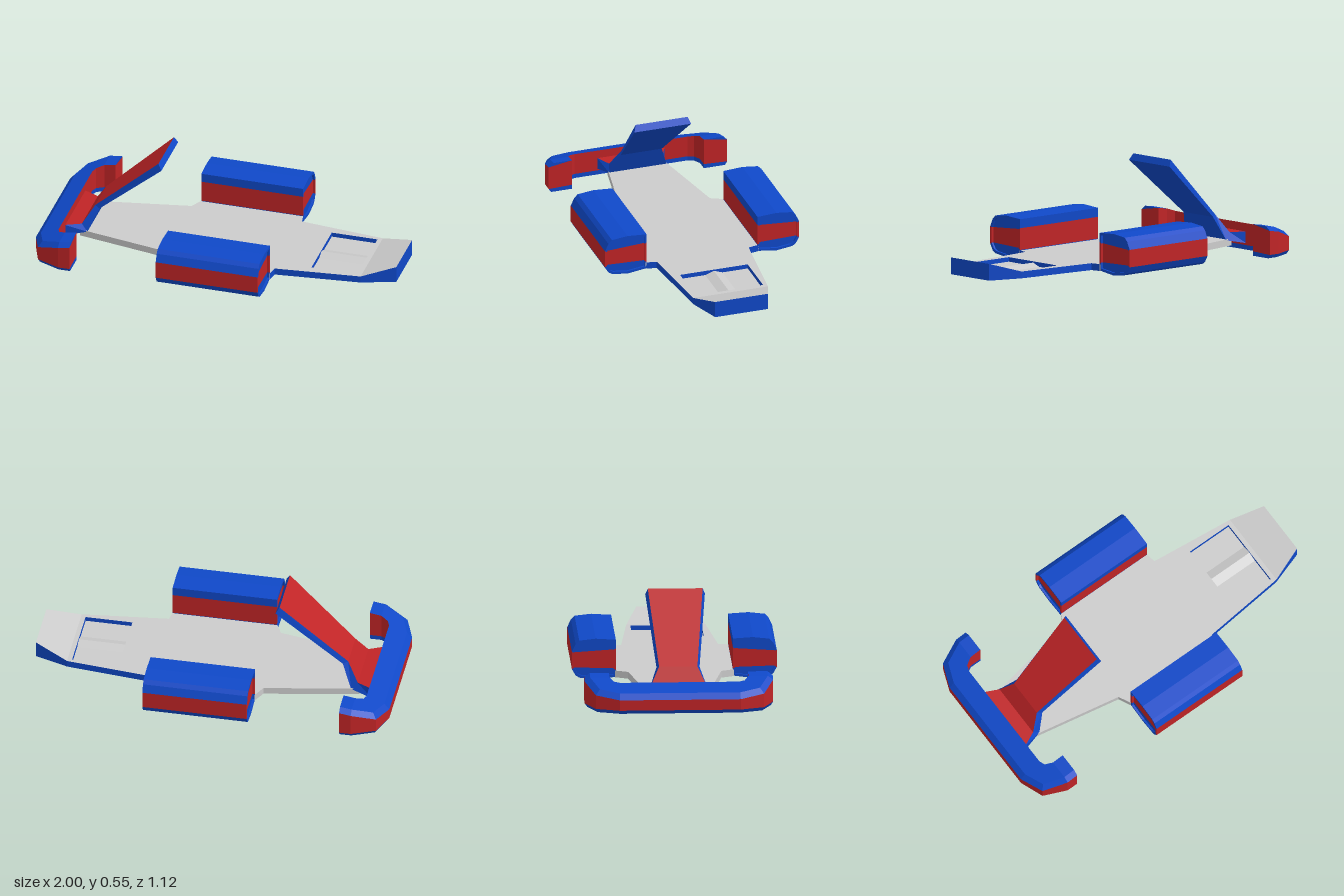
import * as THREE from 'three';

const PALETTE = { blue: 0x0f48c8, red: 0xc02426, grey: 0xcccccc };
const materials = {};
for (const [name, color] of Object.entries(PALETTE)) {
  materials[name] = new THREE.MeshStandardMaterial({ color, flatShading: true });
}

// Skins a row of equal cross-sections; bands[j] colours the strip from corner j to j + 1.
// startCaps / endCaps are lists of [colour, corner indices] closing the two ends.
function loft(name, rings, bands, startCaps = [], endCaps = []) {
  const corners = {};
  const tri = (color, ...points) => (corners[color] ??= []).push(...points.flat());
  const n = bands.length;
  for (let i = 0; i < rings.length - 1; i++) {
    for (let j = 0; j < n; j++) {
      const k = (j + 1) % n;
      const a = rings[i][j], b = rings[i][k], c = rings[i + 1][k], d = rings[i + 1][j];
      tri(bands[j], a, b, c);
      tri(bands[j], a, c, d);
    }
  }
  const cap = (ring, caps, flip) => caps.forEach(([color, ids]) => {
    for (let i = 1; i < ids.length - 1; i++) {
      const [p, q] = flip ? [ids[i + 1], ids[i]] : [ids[i], ids[i + 1]];
      tri(color, ring[ids[0]], ring[p], ring[q]);
    }
  });
  cap(rings[0], startCaps, true);
  cap(rings[rings.length - 1], endCaps, false);

  const group = new THREE.Group();
  group.name = name;
  for (const [color, points] of Object.entries(corners)) {
    const geometry = new THREE.BufferGeometry();
    geometry.setAttribute('position', new THREE.Float32BufferAttribute(points, 3));
    geometry.computeVertexNormals();
    const mesh = new THREE.Mesh(geometry, materials[color]);
    mesh.name = `${name} ${color}`;
    group.add(mesh);
  }
  return group;
}

// Flat deck, made of plain slabs either side of a shallow pocket
function createDeck() {
  const deck = new THREE.Group();
  deck.name = 'deck';
  const low = 0.027, high = 0.065;
  const slab = (name, side, stations) => {
    const rings = stations.map(([x, w, top = high]) =>
      [[x, low, w], [x, low, -w], [x, top, -w], [x, top, w]]);
    const ends = [[side, [0, 1, 2, 3]]];
    deck.add(loft(name, rings, ['grey', side, 'grey', side], ends, ends));
  };
  slab('rear deck', 'grey', [[-0.8, 0.16], [-0.285, 0.255], [-0.25, 0.325], [0.33, 0.325]]);
  slab('front deck', 'blue', [[0.33, 0.32], [0.34, 0.265], [0.53, 0.245]]);
  slab('nose', 'blue', [[0.79, 0.218], [0.815, 0.215], [1, 0.153, 0.12]]);

  const pocketRing = (x, w) => {
    const h = 0.195, floor = 0.04;
    return [[x, low, w], [x, low, -w], [x, high, -w], [x, high, -h], [x, floor, -h],
      [x, floor, -0.05], [x, 0.058, 0], [x, floor, 0.05],
      [x, floor, h], [x, high, h], [x, high, w]];
  };
  deck.add(loft('deck pocket', [pocketRing(0.53, 0.245), pocketRing(0.79, 0.218)],
    ['grey', 'blue', 'grey', 'blue', 'grey', 'grey', 'grey', 'grey', 'blue', 'grey', 'blue']));
  return deck;
}

// Side pod with a red belt and shallow recessed ends, centred along its length
function createPod() {
  const section = [[0.56, 0.075], [0.54, 0.04], [0.52, 0.027], [0.43, 0.015], [0.32, 0.03],
    [0.32, 0.068], [0.32, 0.188], [0.32, 0.238], [0.43, 0.245], [0.52, 0.235],
    [0.54, 0.215], [0.56, 0.172]];
  const full = (x) => section.map(([z, y]) => [x, y, z]);
  const inset = (x) => section.map(([z, y]) => [x, 0.13 + (y - 0.13) * 0.88, 0.44 + (z - 0.44) * 0.9]);
  const h = 0.29;
  const rings = [inset(0.012 - h), inset(-h), full(-h), full(h), inset(h), inset(h - 0.012)];
  const bands = section.map((_, j) => (j === 5 || j === 11 ? 'red' : 'blue'));
  const caps = [['blue', [0, 1, 2, 3, 4, 5]], ['red', [0, 5, 6, 11]], ['blue', [6, 7, 8, 9, 10, 11]]];
  return loft('side pod', rings, bands, caps, caps);
}

// C-shaped rear bumper whose top slopes down towards the back
function createBumper() {
  // outer x, outer z, inner x, inner z
  const half = [[-0.755, 0.515, -0.755, 0.38], [-0.82, 0.515, -0.82, 0.38],
    [-0.95, 0.46, -0.86, 0.358], [-1, 0.33, -0.872, 0.325]];
  const mirrored = half.map(([ox, oz, ix, iz]) => [ox, -oz, ix, -iz]).reverse();
  const topY = (x) => Math.min(0.175, 0.1 + 0.36 * (x + 1));
  const rings = [...half, ...mirrored].map(([ox, oz, ix, iz]) => {
    const mix = (t) => [ox + (ix - ox) * t, oz + (iz - oz) * t];
    const [bx, bz] = mix(0.1), [tx, tz] = mix(0.22);
    return [[ix, 0, iz], [bx, 0, bz], [ox, 0.02, oz], [ox, topY(ox) - 0.022, oz],
      [tx, topY(tx), tz], [ix, topY(ix), iz], [ix, 0.025, iz]];
  });
  const caps = [['blue', [0, 1, 2, 6]], ['red', [6, 2, 3, 5]], ['blue', [3, 4, 5]]];
  return loft('rear bumper', rings,
    ['blue', 'blue', 'red', 'blue', 'blue', 'red', 'blue'], caps, caps);
}

// Leaning tail plate, flaring down into a ramp that meets the bumper
function createTailPlate() {
  // x, y, half width of the back and front faces
  const back = [[-0.875, 0.1, 0.195], [-0.79, 0.1, 0.155], [-0.728, 0.2, 0.105], [-0.355, 0.548, 0.15]];
  const front = [[-0.875, 0.035, 0.195], [-0.755, 0.06, 0.165], [-0.7, 0.19, 0.118], [-0.335, 0.513, 0.163]];
  const rings = back.map(([bx, by, bw], i) => {
    const [fx, fy, fw] = front[i];
    return [[bx, by, -bw], [bx, by, bw], [fx, fy, fw], [fx, fy, -fw]];
  });
  const ends = [['blue', [0, 1, 2, 3]]];
  return loft('tail plate', rings, ['red', 'blue', 'blue', 'blue'], ends, ends);
}

export function createModel() {
  const model = new THREE.Group();
  model.name = 'hover craft';
  model.add(createDeck(), createBumper(), createTailPlate());
  for (const side of [0, 1]) {
    const pod = createPod();
    pod.name = side ? 'right side pod' : 'left side pod';
    pod.position.x = 0.04;
    pod.rotation.y = side * Math.PI;
    model.add(pod);
  }
  return model;
}
